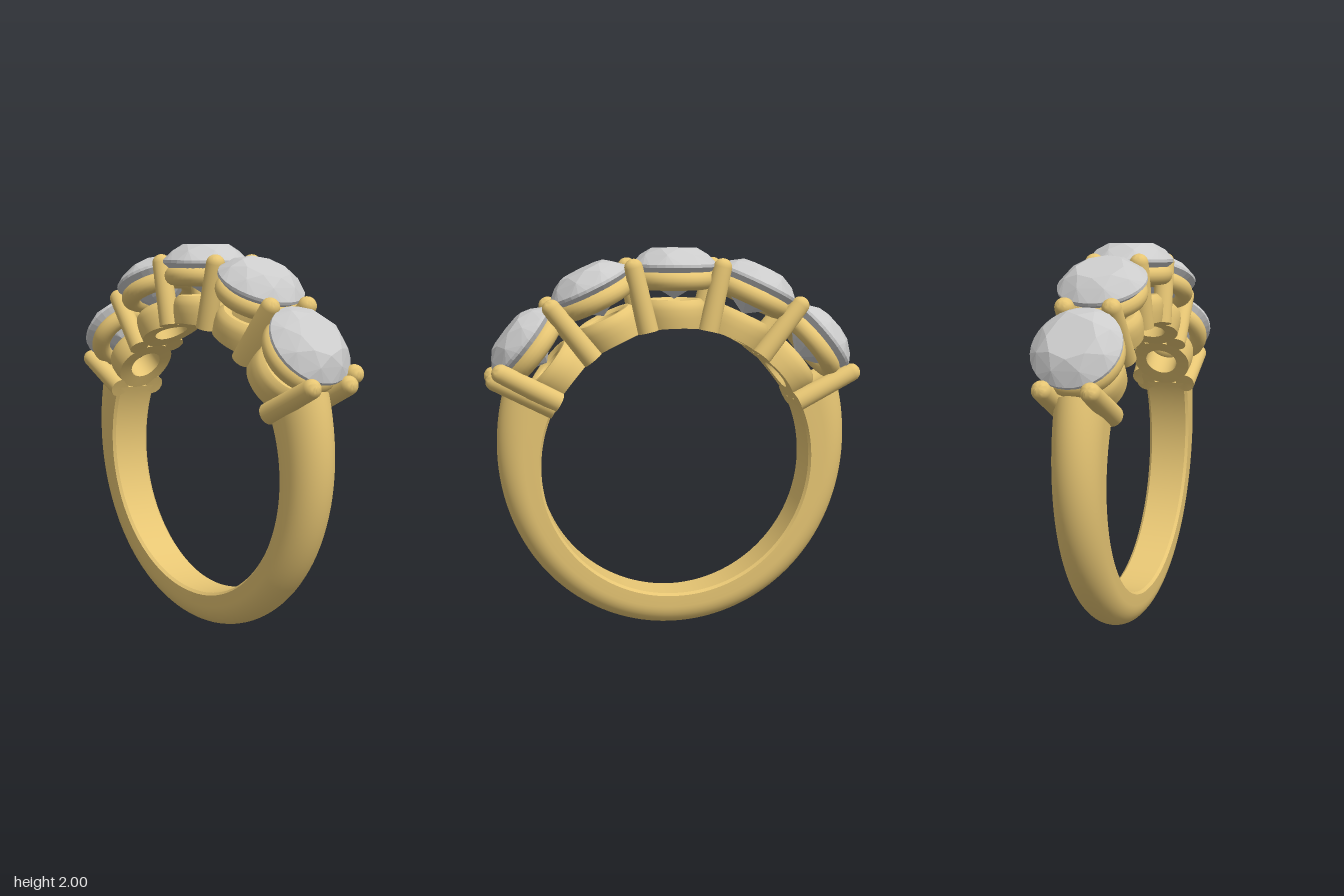
import * as THREE from 'three';
import { toCreasedNormals } from 'three/addons/utils/BufferGeometryUtils.js';
import { ConvexGeometry } from 'three/addons/geometries/ConvexGeometry.js';

const CENTRE_Y = 0.89, INNER = 0.71;
const STEP = THREE.MathUtils.degToRad(25.5); // angle between neighbouring stones
const END = 2.5 * STEP;                      // where the shank meets the setting

const gold = new THREE.MeshStandardMaterial({ color: 0xe6c573 });
const stone = new THREE.MeshStandardMaterial({ color: 0xcccccc, flatShading: true });

const v2 = (pairs) => pairs.map(([x, y]) => new THREE.Vector2(x, y));

// Lathed part whose underside follows the finger hole
function latheOnBore(pairs, segments) {
  const geo = new THREE.LatheGeometry(v2(pairs), segments);
  const p = geo.attributes.position;
  for (let i = 0; i < p.count; i++) {
    if (p.getY(i) < INNER + 0.001) p.setY(i, Math.sqrt(INNER ** 2 - p.getX(i) ** 2));
  }
  return toCreasedNormals(geo, 0.7);
}

// Cross-section of the shank: domed outside, flat inside with eased corners
function shankSection(outer, w) {
  const pts = [], mid = INNER + 0.4 * (outer - INNER);
  for (let k = 0; k <= 20; k++) {
    const t = -Math.PI / 2 + Math.PI * k / 20;
    pts.push([mid + (outer - mid) * Math.cos(t), w * Math.sin(t)]);
  }
  pts.push([INNER + 0.012, w], [INNER, w - 0.015], [INNER, 0.015 - w], [INNER + 0.012, -w]);
  return pts;
}

function shankGeometry() {
  const rings = 97, pos = [], idx = [];
  let n = 0;
  // the first and last rings collapse to a point to close the ends
  for (let i = -1; i <= rings; i++) {
    const f = THREE.MathUtils.clamp(i / (rings - 1), 0, 1);
    const a = END + f * (2 * Math.PI - 2 * END);
    const t = Math.abs(2 * f - 1); // 0 at the bottom, 1 at the setting
    const outer = 0.89 + 0.09 * t ** 4;
    const section = shankSection(outer, 0.1 + 0.022 * t);
    const cap = i < 0 || i === rings;
    n = section.length;
    for (const [r0, z0] of section) {
      const r = cap ? (INNER + outer) / 2 : r0, z = cap ? 0 : z0;
      pos.push(r * Math.sin(a), r * Math.cos(a), z);
    }
  }
  for (let i = 0; i <= rings; i++) {
    for (let j = 0; j < n; j++) {
      const k = (j + 1) % n, a = i * n + j, b = i * n + k;
      if (i > 0) idx.push(a, b, a + n);
      if (i < rings) idx.push(b, b + n, a + n);
      else idx.push(a, b, a + n);
    }
  }
  const geo = new THREE.BufferGeometry();
  geo.setAttribute('position', new THREE.Float32BufferAttribute(pos, 3));
  geo.setIndex(idx);
  return toCreasedNormals(geo, 0.6);
}

// Round brilliant: table, crown points, girdle, pavilion and culet
function gemGeometry() {
  const pts = [new THREE.Vector3(0, 0.85, 0)];
  const ring = (count, r, y, turn) => {
    for (let i = 0; i < count; i++) {
      const a = (i + turn) / count * Math.PI * 2;
      pts.push(new THREE.Vector3(r * Math.cos(a), y, r * Math.sin(a)));
    }
  };
  ring(8, 0.12, 1.11, 0);
  ring(8, 0.176, 1.078, 0.5);
  ring(32, 0.22, 1.03, 0);
  ring(32, 0.22, 1.015, 0);
  ring(8, 0.09, 0.904, 0.5);
  return new ConvexGeometry(pts);
}

function prongGeometry() {
  const profile = [[0, INNER], [0.054, INNER], [0.047, 1.04]];
  for (let k = 1; k <= 6; k++) {
    const t = k / 6 * Math.PI / 2;
    profile.push([0.047 * Math.cos(t), 1.04 + 0.045 * Math.sin(t)]);
  }
  return latheOnBore(profile, 24);
}

export function createModel() {
  const ring = new THREE.Group();
  ring.name = 'ring';
  ring.position.y = CENTRE_Y;

  const add = (parent, name, geo, mat = gold) => {
    const m = new THREE.Mesh(geo, mat);
    m.name = name;
    parent.add(m);
    return m;
  };
  // group turned about the finger axis; its local y points outward
  const spoke = (name, angle) => {
    const g = new THREE.Group();
    g.name = name;
    g.rotation.z = -angle;
    ring.add(g);
    return g;
  };

  add(ring, 'shank', shankGeometry());

  // Five stones, each over a round rail and a pierced cup
  const gem = gemGeometry();
  const cup = latheOnBore([[0.088, INNER], [0.16, INNER], [0.167, 0.76], [0.167, 0.8], [0.16, 0.83],
    [0.14, 0.85], [0.115, 0.85], [0.095, 0.835], [0.088, 0.8], [0.088, INNER]], 48);
  const rail = new THREE.TorusGeometry(0.163, 0.05, 16, 48).rotateX(Math.PI / 2).translate(0, 0.95, 0);
  for (let i = -2; i <= 2; i++) {
    const setting = spoke('setting', i * STEP);
    add(setting, 'gemstone', gem, stone);
    add(setting, 'rail', rail);
    add(setting, 'cup', cup);
  }

  // Pairs of prongs between the stones and at both ends
  const prong = prongGeometry();
  for (let i = -2.5; i <= 2.5; i++) {
    const pair = spoke('prongPair', i * STEP);
    for (const side of [-1, 1]) add(pair, 'prong', prong).position.z = side * 0.117;
  }

  // One extra prong, leaning outward at the back of the left end
  const extra = add(spoke('extraProngSpoke', 1.06), 'extraProng', prong);
  extra.rotation.x = -0.14;
  extra.position.set(0, 0.007, -0.036);

  const model = new THREE.Group();
  model.name = 'fiveStoneRing';
  model.add(ring);
  return model;
}
